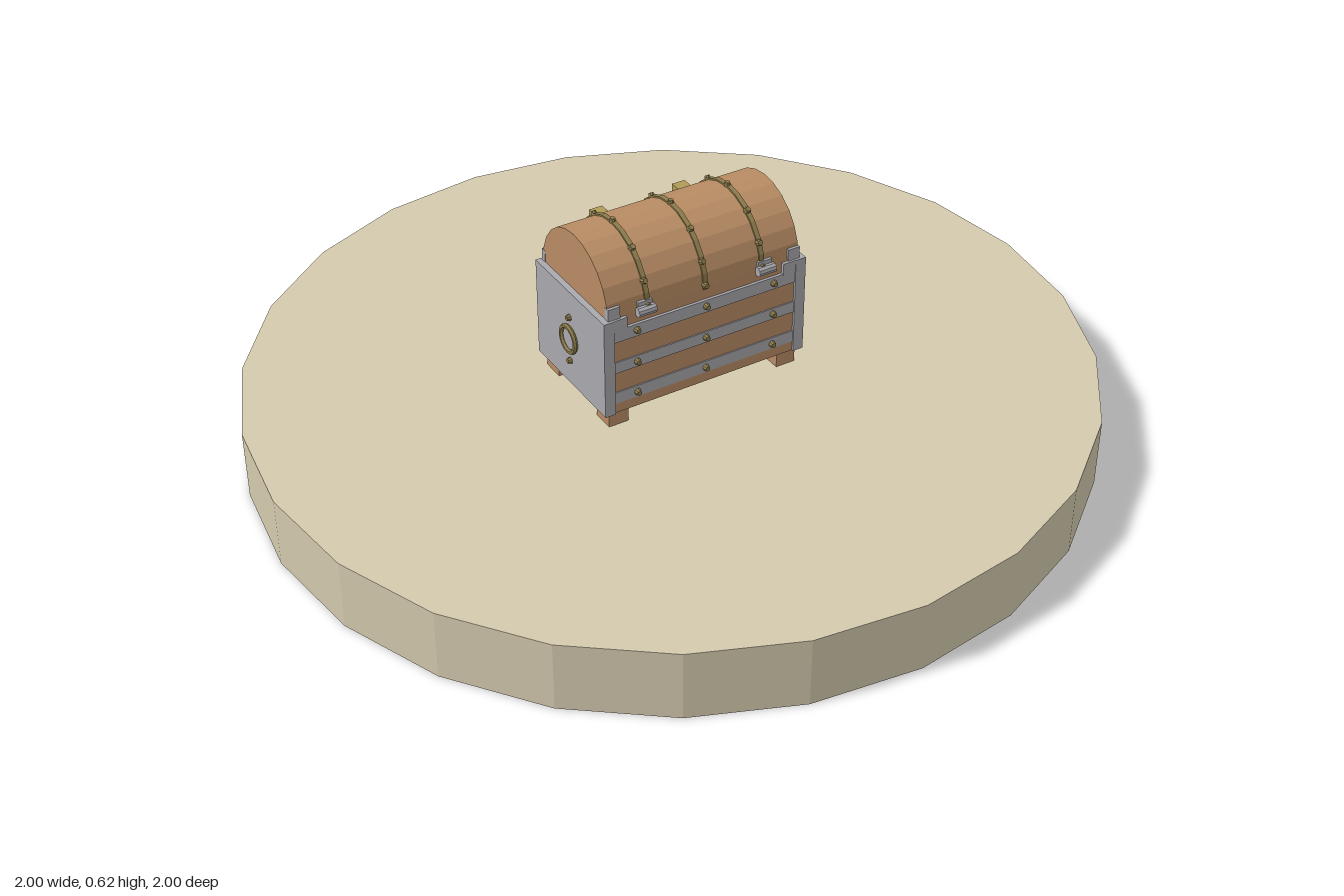
import * as THREE from 'three';

export function createModel() {
  const root = new THREE.Group();
  root.name = 'chestOnBase';
  const mat = (name, color) => {
    const m = new THREE.MeshStandardMaterial({ color, flatShading: true });
    m.name = name;
    return m;
  };
  const stone = mat('sand', 0xd4caae);
  const wood = mat('wood', 0xb98c64);
  const iron = mat('iron', 0xa9a9ae);
  const bronze = mat('bronze', 0x8c7c4c);
  const gold = mat('brass', 0xb09c58);

  const add = (name, geo, m, x = 0, y = 0, z = 0, parent = root) => {
    const mesh = new THREE.Mesh(geo, m);
    mesh.name = name;
    mesh.position.set(x, y, z);
    parent.add(mesh);
    return mesh;
  };
  // box given by its minimum and maximum corners
  const box = (name, m, x0, x1, y0, y1, z0, z1) =>
    add(name, new THREE.BoxGeometry(x1 - x0, y1 - y0, z1 - z0), m,
      (x0 + x1) / 2, (y0 + y1) / 2, (z0 + z1) / 2);
  // rivet whose axis points along dir
  const up = new THREE.Vector3(0, 1, 0);
  const rivetGeo = new THREE.CylinderGeometry(0.006, 0.009, 0.012, 8);
  const rivet = (x, y, z, dx, dy, dz) =>
    add('rivet', rivetGeo, bronze, x, y, z).quaternion
      .setFromUnitVectors(up, new THREE.Vector3(dx, dy, dz).normalize());

  // round base
  add('base', new THREE.CylinderGeometry(1, 1, 0.172, 24), stone, 0, 0.086, 0);

  // wooden body with iron end plates
  box('body', wood, -0.25, 0.25, 0.21, 0.46, -0.145, 0.145);
  for (const s of [-1, 1]) {
    const x0 = s > 0 ? 0.25 : -0.265;
    box('endPlate', iron, x0, x0 + 0.015, 0.21, 0.46, -0.155, 0.155);
  }

  for (const s of [-1, 1]) {
    const span = (a, b) => (s > 0 ? [a, b] : [-b, -a]);
    // iron rails and wooden slats on the long sides
    for (const [y0, y1] of [[0.4, 0.432], [0.318, 0.347], [0.236, 0.266]])
      box('rail', iron, -0.24, 0.24, y0, y1, ...span(0.14, 0.152));
    for (const y0 of [0.347, 0.266])
      box('slat', wood, -0.24, 0.24, y0, y0 + 0.052, ...span(0.14, 0.149));
    box('skirt', wood, -0.24, 0.24, 0.21, 0.236, ...span(0.14, 0.15));
    for (const y of [0.417, 0.333, 0.25])
      for (const x of [-0.18, 0, 0.18]) rivet(x, y, s * 0.156, 0, 0, s);
    // corner posts, brackets, lid tabs and feet
    for (const k of [-1, 1]) {
      const side = (a, b) => (k > 0 ? [a, b] : [-b, -a]);
      box('cornerPost', iron, ...side(0.238, 0.256), 0.21, 0.46, ...span(0.14, 0.155));
      box('cornerBracket', iron, ...side(0.205, 0.25), 0.43, 0.46, ...span(0.138, 0.154));
      box('lidTab', iron, ...side(0.22, 0.251), 0.46, 0.49, ...span(0.135, 0.149));
      box('foot', wood, ...side(0.2, 0.25), 0.172, 0.212, ...span(0.088, 0.144));
    }
  }

  // barrel lid: half cylinder lying along x
  const lidGeo = (r, len, open) => {
    const g = new THREE.CylinderGeometry(r, r, len, 12, 1, open, 0, Math.PI);
    return g.rotateZ(Math.PI / 2);
  };
  add('lid', lidGeo(0.146, 0.5, false), wood, 0, 0.46, 0);
  for (const x of [-0.15, 0, 0.15]) {
    add('lidBand', lidGeo(0.15, 0.012, false), bronze, x, 0.46, 0);
    for (const deg of [4, 26, 56, 90, 124, 154, 176]) {
      const a = THREE.MathUtils.degToRad(deg);
      const c = Math.cos(a), s = Math.sin(a);
      rivet(x, 0.46 + 0.15 * s, 0.15 * c, 0, s, c);
    }
  }

  // hinges on the front edge
  for (const x of [-0.157, 0.157]) {
    add('hinge', new THREE.CylinderGeometry(0.012, 0.012, 0.045, 10).rotateZ(Math.PI / 2),
      iron, x, 0.462, 0.153);
    box('hingeLeaf', iron, x - 0.018, x + 0.018, 0.462, 0.484, 0.138, 0.15);
  }

  // ring handles on both ends
  for (const s of [-1, 1]) {
    const ring = new THREE.TorusGeometry(0.032, 0.006, 6, 20).rotateY(Math.PI / 2);
    add('ringHandle', ring, bronze, s * 0.27, 0.335, 0);
    const boss = new THREE.CylinderGeometry(0.026, 0.026, 0.006, 16).rotateZ(Math.PI / 2);
    add('handleBoss', boss, iron, s * 0.266, 0.335, 0);
    for (const y of [0.392, 0.275]) rivet(s * 0.268, y, 0, s, 0, 0);
  }

  // lock on the back side
  box('lockPlate', gold, -0.05, 0.05, 0.275, 0.42, -0.168, -0.15);
  box('hasp', gold, -0.035, 0.035, 0.475, 0.515, -0.16, -0.136);
  box('haspStrap', gold, -0.014, 0.014, 0.42, 0.48, -0.162, -0.145);
  add('lockKnob', new THREE.SphereGeometry(0.018, 12, 8), iron, 0, 0.35, -0.172);
  add('lockRing', new THREE.TorusGeometry(0.018, 0.005, 6, 16), bronze, 0, 0.295, -0.174);
  for (const x of [-0.11, 0.11])
    box('lidTile', gold, x - 0.017, x + 0.017, 0.525, 0.553, -0.148, -0.12);

  return root;
}
